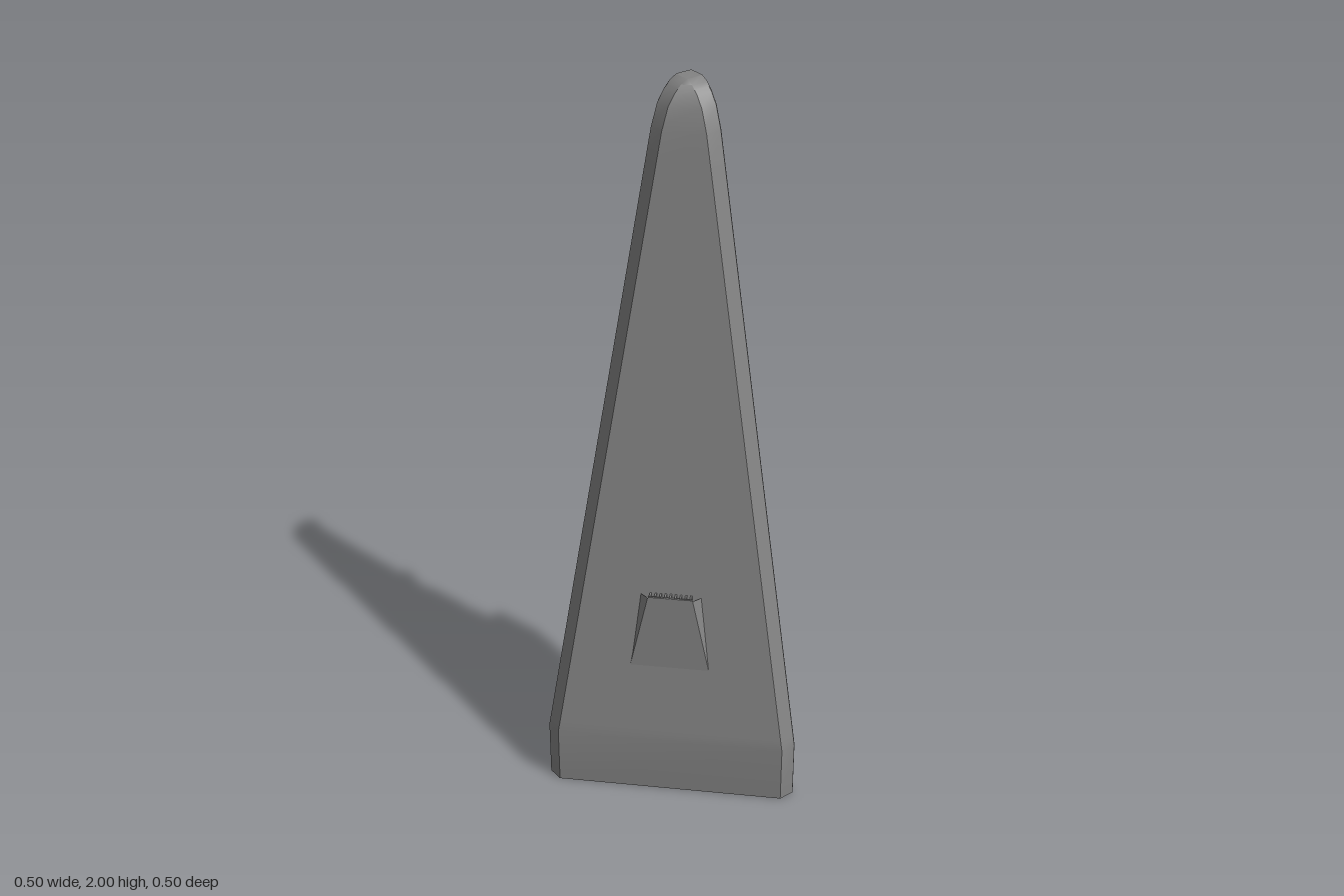
import * as THREE from 'three';
import { toCreasedNormals } from 'three/addons/utils/BufferGeometryUtils.js';

const mat = new THREE.MeshStandardMaterial({ color: 0x838383 });

// Tapering outline: x of the slanted edge at height y
const PROFILE = [[0, -0.25], [0.17, -0.25], [1.88, 0.12], [1.94, 0.14], [1.97, 0.16], [1.99, 0.18], [2, 0.2]];
const RIM = 0.03;
const BEVEL = 0.005;
const CREASE = 0.6;

function edge(y) {
  for (let i = 1; i < PROFILE.length; i++) {
    const [y0, a0] = PROFILE[i - 1], [y1, a1] = PROFILE[i];
    if (y <= y1) return a0 + (a1 - a0) * (y - y0) / (y1 - y0);
  }
  return 0.2;
}

function named(name, geometry, parent) {
  const m = new THREE.Mesh(geometry, mat);
  m.name = name;
  parent.add(m);
  return m;
}

// Skins stacked rings {y, pts:[[x,z]...]}, counter-clockwise from above, with flat caps
function loft(rings, { bottom = true, top = true, hole = null, flip = false } = {}) {
  const pos = [];
  const tri = (a, b, c) => pos.push(...a, ...(flip ? [...c, ...b] : [...b, ...c]));
  const at = (r, j) => {
    const p = r.pts[j % r.pts.length];
    return [p[0], r.y, p[1]];
  };
  for (let i = 0; i + 1 < rings.length; i++) {
    for (let j = 0; j < rings[i].pts.length; j++) {
      const a = at(rings[i], j), b = at(rings[i], j + 1);
      const c = at(rings[i + 1], j + 1), d = at(rings[i + 1], j);
      tri(a, b, c);
      tri(a, c, d);
    }
  }
  const cap = (ring, up, holePts) => {
    const flat = (pts) => pts.map(([x, z]) => new THREE.Vector2(x, -z));
    const outer = flat(ring.pts), inner = holePts ? [flat(holePts).reverse()] : [];
    const all = [...outer, ...inner.flat()];
    for (const [i, j, k] of THREE.ShapeUtils.triangulateShape(outer, inner)) {
      const [a, b, c] = [all[i], all[j], all[k]];
      const ccw = (b.x - a.x) * (c.y - a.y) - (b.y - a.y) * (c.x - a.x) > 0;
      const v = [a, b, c].map((p) => [p.x, ring.y, -p.y]);
      if (ccw === up) tri(v[0], v[1], v[2]);
      else tri(v[0], v[2], v[1]);
    }
  };
  if (bottom) cap(rings[0], false, hole);
  if (top) cap(rings[rings.length - 1], true, null);
  const g = new THREE.BufferGeometry();
  g.setAttribute('position', new THREE.Float32BufferAttribute(pos, 3));
  return toCreasedNormals(g, CREASE);
}

// Cross-section of the fin: diagonal front, rims at both ends, recessed chamfered back
function finSection(y, solid) {
  const a = edge(y), e = Math.min(a + RIM, 0.198), c = Math.max(0.16, e);
  const front = [[a + BEVEL, -0.25], [a, BEVEL - 0.25], [a, -0.2],
    [0.2, -a], [0.25 - BEVEL, -a], [0.25, -a - BEVEL]];
  const back = [[0.25, -e], [0.2, -e], [0.2, -c], [c, -0.2], [e, -0.2], [e, -0.25]];
  return { y, pts: [...front, ...(solid ? back.map(() => [0.25, -0.25]) : back)] };
}

// Corner strap lying flush with the rims
function bandSection(y) {
  const e = edge(y) + RIM - 0.001;
  return { y, pts: [[e, -0.25], [e, -0.195], [0.165, -0.165], [0.195, -e], [0.25, -e], [0.25, -0.25]] };
}

// Round stud along +z, straight up to h0, then tapering to the end radius
function stud(r, h0, rEnd, h) {
  const g = new THREE.LatheGeometry([[r, 0], [r, h0], [rEnd, h], [0, h]]
    .map(([x, y]) => new THREE.Vector2(x, y)), 24);
  g.rotateX(Math.PI / 2);
  return toCreasedNormals(g, 0.4);
}

// Upright flat-faced pill with bevelled edges
function pill(r, halfStraight, depth, bevel) {
  const s = new THREE.Shape();
  s.absarc(0, halfStraight, r - bevel, 0, Math.PI);
  s.absarc(0, -halfStraight, r - bevel, Math.PI, Math.PI * 2);
  const g = new THREE.ExtrudeGeometry(s, {
    depth: depth - bevel, bevelSize: bevel, bevelThickness: bevel, bevelSegments: 3, curveSegments: 10,
  });
  return toCreasedNormals(g, 0.7);
}

// Places a copy of a fitting on both recessed panels
function onBothPanels(name, geometry, y, z, group) {
  const left = named(name + 'Side', geometry, group);
  left.position.set(0.2, y, z);
  left.rotation.y = Math.PI / 2;
  const back = named(name + 'Back', geometry, group);
  back.position.set(-z, y, -0.2);
  back.rotation.y = Math.PI;
}

// Shallow scoop on the diagonal face, open at the top with a row of fins
function makeScoop() {
  const g = new THREE.Group();
  g.name = 'scoop';
  g.position.set(-0.0035, 0, -0.0035);
  g.rotation.y = -Math.PI / 4;
  const section = (y, wall, front, wallZ, frontZ) =>
    ({ y, pts: [[-wall, wallZ], [-front, frontZ], [front, frontZ], [wall, wallZ]] });
  const body = [section(0.4, 0.112, 0.11, -0.004, 0), section(0.62, 0.088, 0.062, -0.038, -0.014)];
  named('scoopBody', loft(body, { top: false }), g);
  const lip = named('scoopLip', new THREE.BoxGeometry(0.122, 0.02, 0.006), g);
  lip.position.set(0, 0.612, -0.0175);
  for (let i = 0; i < 9; i++) {
    const fin = named('scoopFin', new THREE.BoxGeometry(0.005, 0.03, 0.022), g);
    fin.position.set(-0.056 + i * 0.014, 0.61, -0.027);
  }
  return g;
}

export function createModel() {
  const model = new THREE.Group();
  model.name = 'cornerFin';

  // Shell with a hollow foot; the closed sections form the hooked tip
  const pocket = [[-0.14, -0.17], [0.17, 0.14], [0.17, -0.15], [0.15, -0.17]];
  const rings = [0, 0.17, 0.2, 1.8, 1.88, 1.9, 1.94, 1.97].map((y) => finSection(y, false));
  for (const y of [1.97, 1.98, 1.99, 2]) rings.push(finSection(y, true));
  named('shell', loft(rings, { hole: pocket }), model);
  named('footPocket', loft([{ y: 0, pts: pocket }, { y: 0.2, pts: pocket }], { bottom: false, flip: true }), model);

  // Straps around the back corner
  named('lowerBand', loft([0.08, 0.17, 0.27].map(bandSection)), model);
  named('upperBand', loft([0.73, 0.93].map(bandSection)), model);

  // Fittings on the two recessed panels
  onBothPanels('largeStud', stud(0.075, 0.015, 0.057, 0.05), 0.5, 0, model);
  onBothPanels('middleStud', stud(0.038, 0.042, 0.036, 0.045), 1.23, -0.06, model);
  onBothPanels('smallStud', stud(0.028, 0.048, 0.026, 0.051), 1.52, -0.13, model);
  onBothPanels('capsule', pill(0.04, 0.0665, 0.051, 0.015), 1.037, -0.06, model);
  const block = new THREE.BoxGeometry(0.045, 0.18, 0.03);
  block.translate(0, 0, 0.015);
  onBothPanels('lowerBlock', block, 1.022, -0.143, model);
  onBothPanels('upperBlock', block, 1.262, -0.143, model);

  model.add(makeScoop());
  return model;
}
